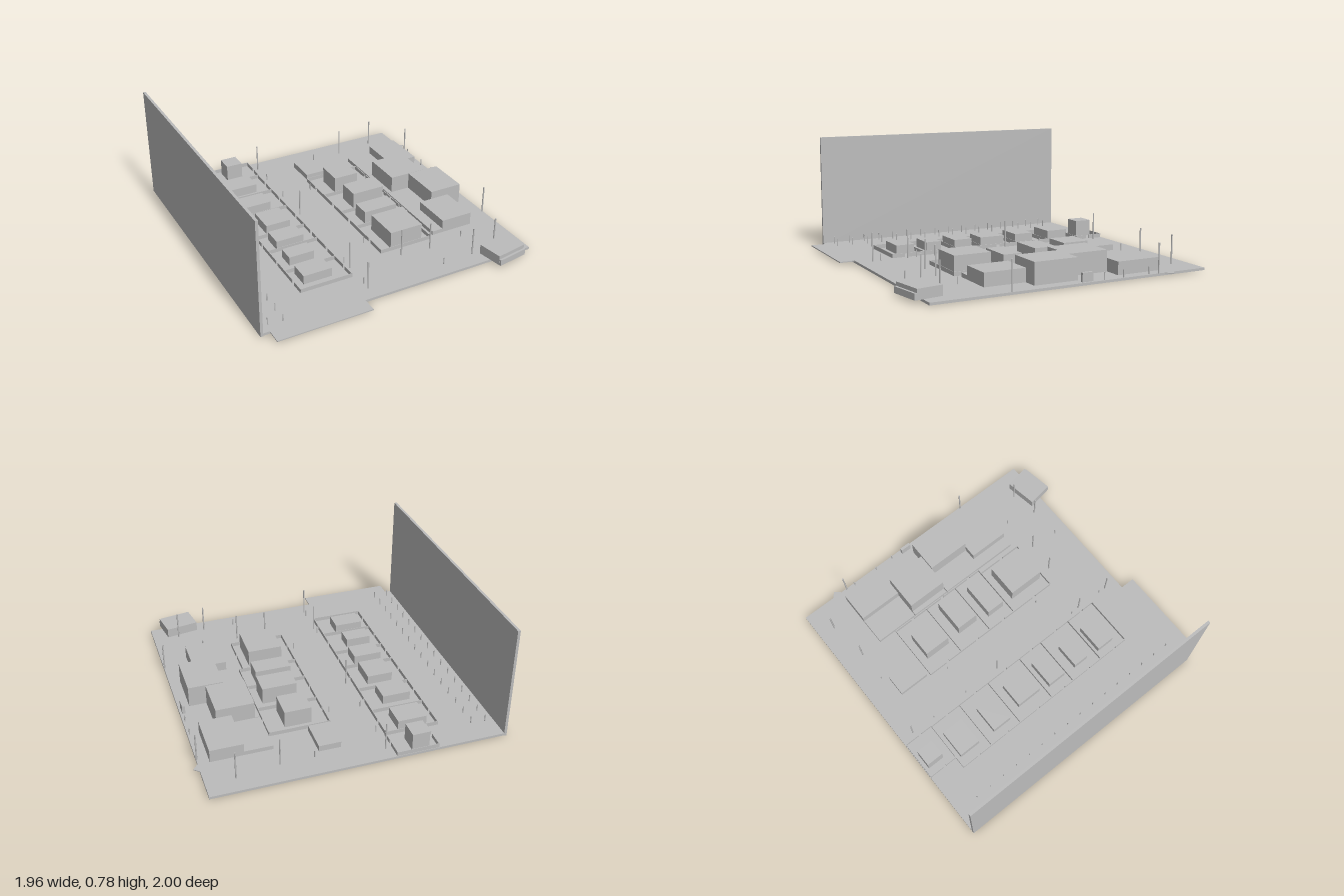
import * as THREE from 'three';

export function createModel() {
  const model = new THREE.Group();
  const grey = new THREE.MeshStandardMaterial({ color: 0xbcbcbc });
  grey.name = 'plain grey';
  const GROUND = 0.02;

  // Box given by its extents on each axis
  function block(name, x0, x1, y0, y1, z0, z1, parent = model) {
    const mesh = new THREE.Mesh(new THREE.BoxGeometry(x1 - x0, y1 - y0, z1 - z0), grey);
    mesh.position.set((x0 + x1) / 2, (y0 + y1) / 2, (z0 + z1) / 2);
    mesh.name = name;
    parent.add(mesh);
    return mesh;
  }

  function post(name, x, z, top, radius) {
    const mesh = new THREE.Mesh(new THREE.CylinderGeometry(radius, radius, top - GROUND, 8), grey);
    mesh.position.set(x, (top + GROUND) / 2, z);
    mesh.name = name;
    model.add(mesh);
  }

  // Low garden walls round a plot, with a gate gap on both long sides
  function plot(x0, x1, z0, z1) {
    const g = new THREE.Group();
    g.name = 'gardenWall';
    const t = 0.003, top = 0.047;
    const gate = z0 + (z1 - z0) * 0.55;
    for (const x of [x0, x1]) {
      block('wallSide', x - t, x + t, GROUND, top, z0, gate - 0.012, g);
      block('wallSide', x - t, x + t, GROUND, top, gate + 0.012, z1, g);
    }
    for (const z of [z0, z1]) block('wallEnd', x0, x1, GROUND, top, z - t / 2, z + t / 2, g);
    model.add(g);
  }

  // Ground slab, pavement at the front, spur at the side and tall back wall
  block('ground', -0.98, 0.94, 0.004, GROUND, -1, 0.9);
  block('frontPavement', -0.92, -0.29, 0.013, GROUND, 0.9, 1);
  block('tallWall', -0.98, -0.962, 0, 0.78, -1, 0.9);
  const spurShape = new THREE.Shape([[0.94, 0.76], [0.975, 0.73], [0.94, 0.69]]
    .map(([x, y]) => new THREE.Vector2(x, y)));
  const spur = new THREE.Mesh(
    new THREE.ExtrudeGeometry(spurShape, { depth: 0.006, bevelEnabled: false }), grey);
  spur.rotation.x = -Math.PI / 2;
  spur.position.y = 0.014;
  spur.name = 'groundSpur';
  model.add(spur);

  // Small houses: x0, x1, z0, z1, top
  const houses = [
    [-0.46, -0.345, -0.97, -0.85, 0.135],
    [-0.535, -0.34, -0.755, -0.6, 0.083],
    [-0.54, -0.35, -0.475, -0.335, 0.08],
    [-0.51, -0.335, -0.235, -0.05, 0.083],
    [-0.53, -0.335, 0.02, 0.155, 0.083],
    [-0.535, -0.36, 0.245, 0.355, 0.08],
    [-0.545, -0.35, 0.45, 0.58, 0.08],
    [0.06, 0.205, -0.805, -0.59, 0.06],
    [0.155, 0.335, -0.51, -0.325, 0.135],
    [0.165, 0.4, -0.225, -0.07, 0.135],
    [0.135, 0.38, 0.015, 0.145, 0.11],
    [0.135, 0.37, 0.23, 0.485, 0.135],
  ];
  for (const [x0, x1, z0, z1, top] of houses) block('house', x0, x1, GROUND, top, z0, z1);

  // Garden plots along the street
  plot(-0.515, -0.24, -0.995, -0.785);
  const leftEdges = [-0.785, -0.545, -0.295, -0.015, 0.175, 0.425, 0.65];
  const rightEdges = [-0.565, -0.295, -0.04, 0.175, 0.51];
  for (let i = 1; i < leftEdges.length; i++) plot(-0.6, -0.245, leftEdges[i - 1], leftEdges[i]);
  for (let i = 1; i < rightEdges.length; i++) {
    plot(0.05, i === 4 ? 0.425 : 0.453, rightEdges[i - 1], rightEdges[i]);
  }

  // Large buildings with low annexes filling the side toward the street
  const halls = [
    [0.65, 0.865, -0.695, -0.39, 0.105],
    [0.495, 0.75, -0.385, -0.105, 0.16],
    [0.63, 0.865, -0.1, 0.2, 0.162],
    [0.54, 0.765, 0.2, 0.48, 0.108],
  ];
  for (const [x0, x1, z0, z1, top] of halls) {
    block('largeBuilding', x0, x1, GROUND, top, z0, z1);
    block('lowAnnex', 0.463, x0, GROUND, 0.047, z0, z1);
  }

  // Turned building on the front edge with a lower ledge
  const corner = new THREE.Group();
  corner.name = 'cornerBuilding';
  block('cornerHall', -0.112, 0.112, GROUND, 0.085, -0.085, 0.085, corner);
  block('cornerLedge', -0.11, 0.11, GROUND, 0.06, 0.085, 0.1, corner);
  corner.position.set(0.738, 0, 0.873);
  corner.rotation.y = 0.165;
  model.add(corner);

  block('kiosk', 0.905, 0.925, GROUND, 0.078, -0.17, -0.095);

  // Tall lamp posts
  const lamps = [[-0.195, -0.905], [-0.2, -0.175], [-0.21, 0.555], [-0.215, 0.8],
    [0.465, -0.845], [0.75, -0.885], [0.935, -0.645], [0.935, 0.385],
    [0.36, 0.605], [0.155, 0.585], [0.565, 0.79], [0.76, 0.755]];
  for (const [x, z] of lamps) post('lampPost', x, z, 0.212, 0.005);

  // Short posts
  const shorts = [[-0.2, -0.73], [-0.2, -0.45], [-0.215, 0.49], [-0.215, 0.745],
    [0.245, -0.845], [0.925, -0.58], [0.925, -0.39], [0.925, -0.25],
    [0.62, 0.58], [0.34, 0.8], [0.01, 0.345], [0.015, -0.445]];
  for (const [x, z] of shorts) post('shortPost', x, z, 0.068, 0.004);

  // Two rows of bollards beside the tall wall
  for (let i = 0; i < 16; i++) {
    const z = -0.845 + i * 0.112;
    post('bollard', -0.905, z, 0.07, 0.004);
    post('bollard', -0.81, z + 0.01, 0.07, 0.004);
  }
  return model;
}
